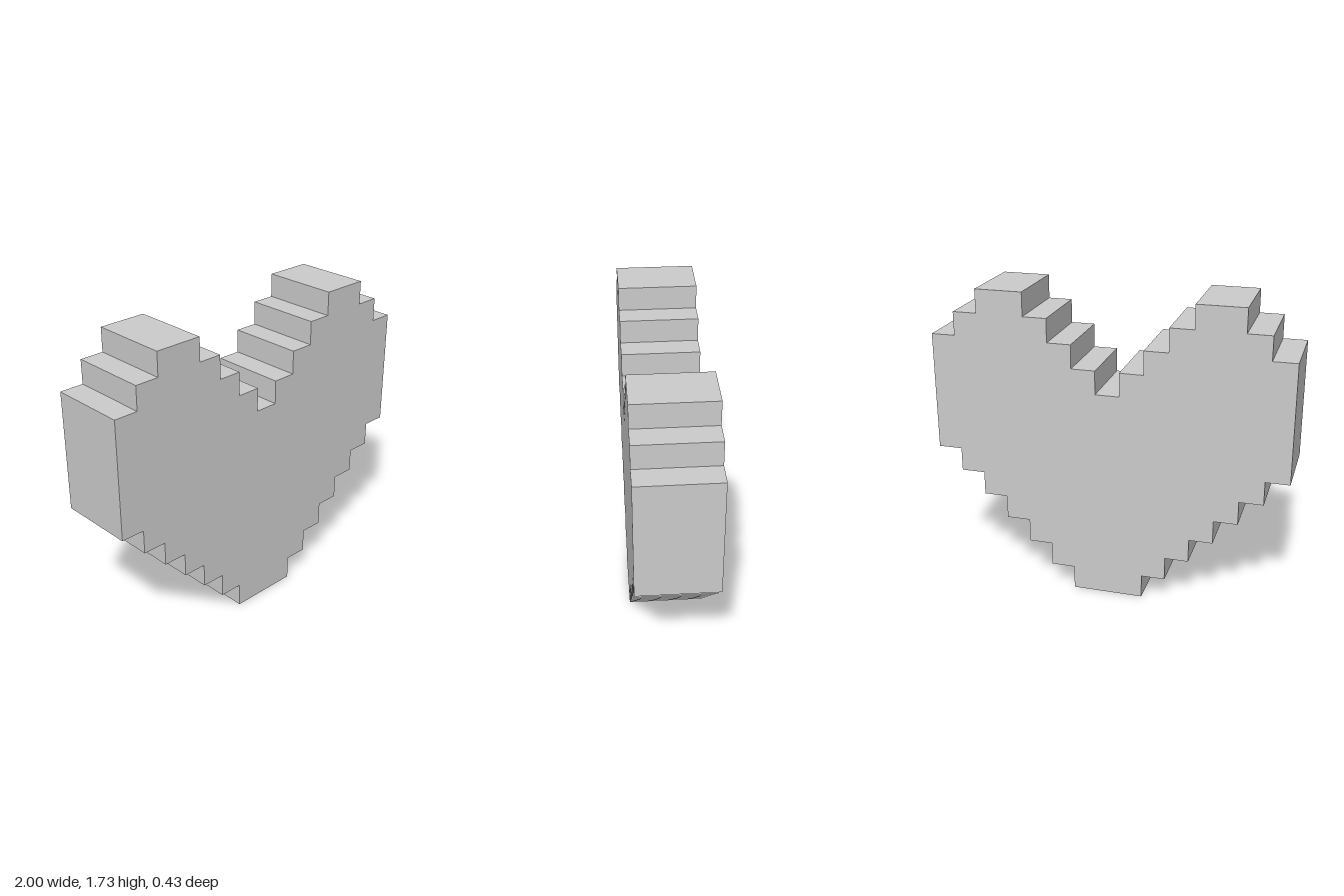
import * as THREE from 'three';

const UNIT = 2 / 15; // one pixel step
const DEPTH = 3.25 * UNIT;

// Outer corners of the stepped right half, walked from the bottom to the notch
function halfOutline() {
  const pts = [];
  // lower staircase, widening upward
  for (let i = 0; i < 6; i++) pts.push([1.5 + i, i], [1.5 + i, i + 1]);
  // side wall and the two shoulder steps
  pts.push([7.5, 6], [7.5, 11], [6.5, 11], [6.5, 12], [5.5, 12], [5.5, 13]);
  // inner staircase down to the notch
  for (let i = 0; i < 4; i++) pts.push([3.5 - i, 13 - i], [3.5 - i, 12 - i]);
  return pts;
}

export function createModel() {
  const half = halfOutline();
  const mirrored = half.map(([x, y]) => [-x, y]).reverse();
  const shape = new THREE.Shape(
    [...half, ...mirrored].map(([x, y]) => new THREE.Vector2(x * UNIT, y * UNIT))
  );

  // Solid slab, centred front to back
  const geometry = new THREE.ExtrudeGeometry(shape, { depth: DEPTH, bevelEnabled: false });
  geometry.translate(0, 0, -DEPTH / 2);

  const heart = new THREE.Mesh(
    geometry,
    new THREE.MeshStandardMaterial({ color: 0xcccccc, flatShading: true })
  );
  heart.name = 'pixelHeart';

  const group = new THREE.Group();
  group.name = 'heart';
  group.add(heart);
  return group;
}
